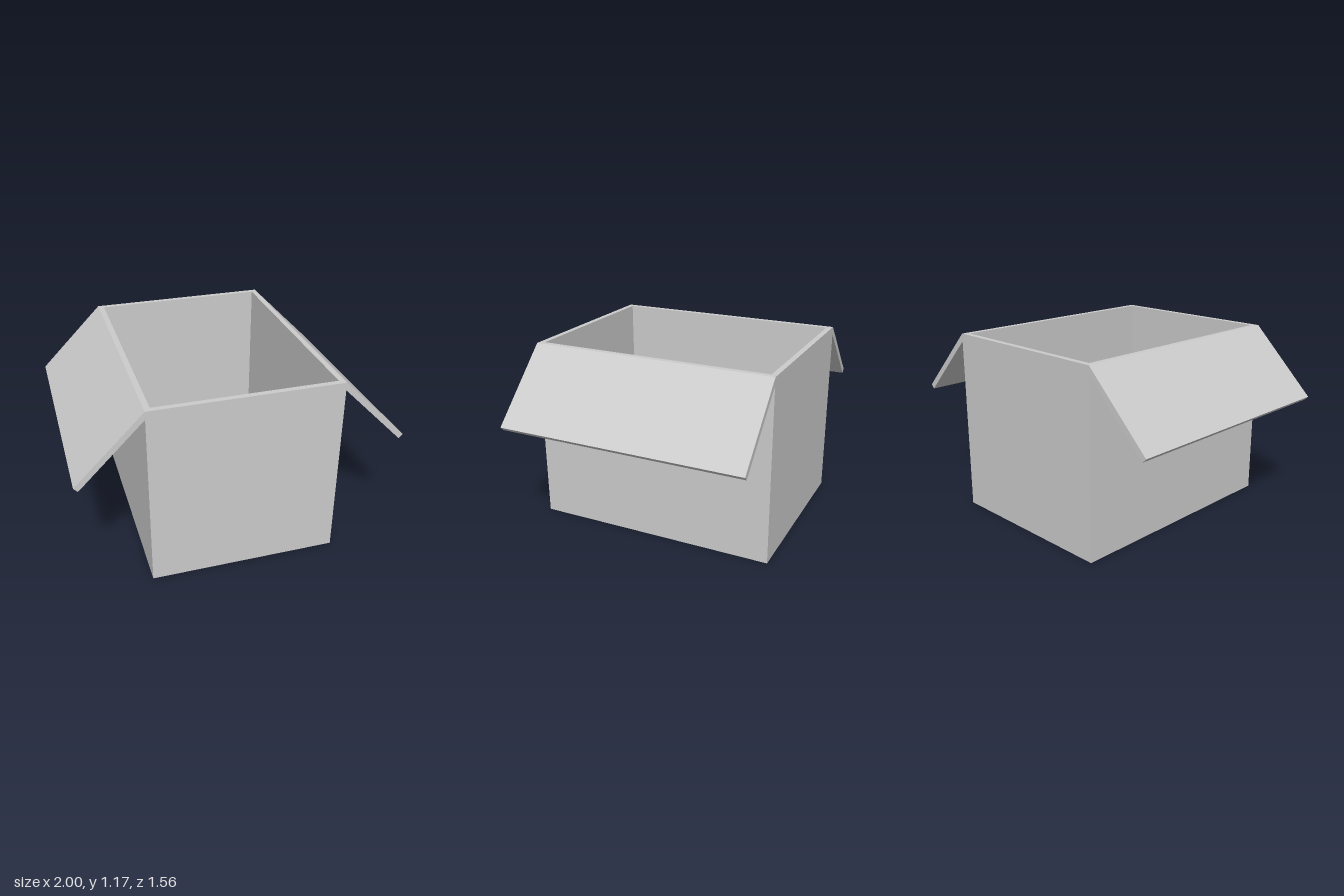
import * as THREE from 'three';

const W = 0.585, H = 1.17, D = 0.78, T = 0.035; // half width, height, half depth, board thickness

function polygon(points) {
  return new THREE.Shape(points.map(([x, y]) => new THREE.Vector2(x, y)));
}

function rectangle(w, d) {
  return [[-w, -d], [w, -d], [w, d], [-w, d]];
}

export function createModel() {
  const group = new THREE.Group();
  const material = new THREE.MeshStandardMaterial({ color: 0xcccccc });
  const add = (name, geometry) => {
    const mesh = new THREE.Mesh(geometry, material);
    mesh.name = name;
    group.add(mesh);
    return mesh;
  };

  // Four walls as one open frame
  const frame = polygon(rectangle(W, D));
  frame.holes.push(polygon(rectangle(W - T, D - T)));
  const walls = new THREE.ExtrudeGeometry(frame, { depth: H, bevelEnabled: false });
  add('walls', walls.rotateX(-Math.PI / 2));

  // Floor panel set between the walls
  const floor = new THREE.BoxGeometry(2 * (W - T), T, 2 * (D - T));
  add('floor', floor.translate(0, T / 2, 0));

  // Side flaps folded outward at 45 degrees, mitred against the walls
  const reach = 1 - W, c = T * Math.SQRT1_2;
  const section = [
    [W, H],
    [W, H - T * Math.SQRT2],
    [W + reach - c, H - reach - c],
    [W + reach, H - reach],
  ];
  for (const [name, side] of [['leftFlap', 1], ['rightFlap', -1]]) {
    const shape = polygon(section.map(([x, y]) => [side * x, y]));
    const flap = new THREE.ExtrudeGeometry(shape, { depth: 2 * D, bevelEnabled: false });
    add(name, flap.translate(0, 0, -D));
  }

  return group;
}
